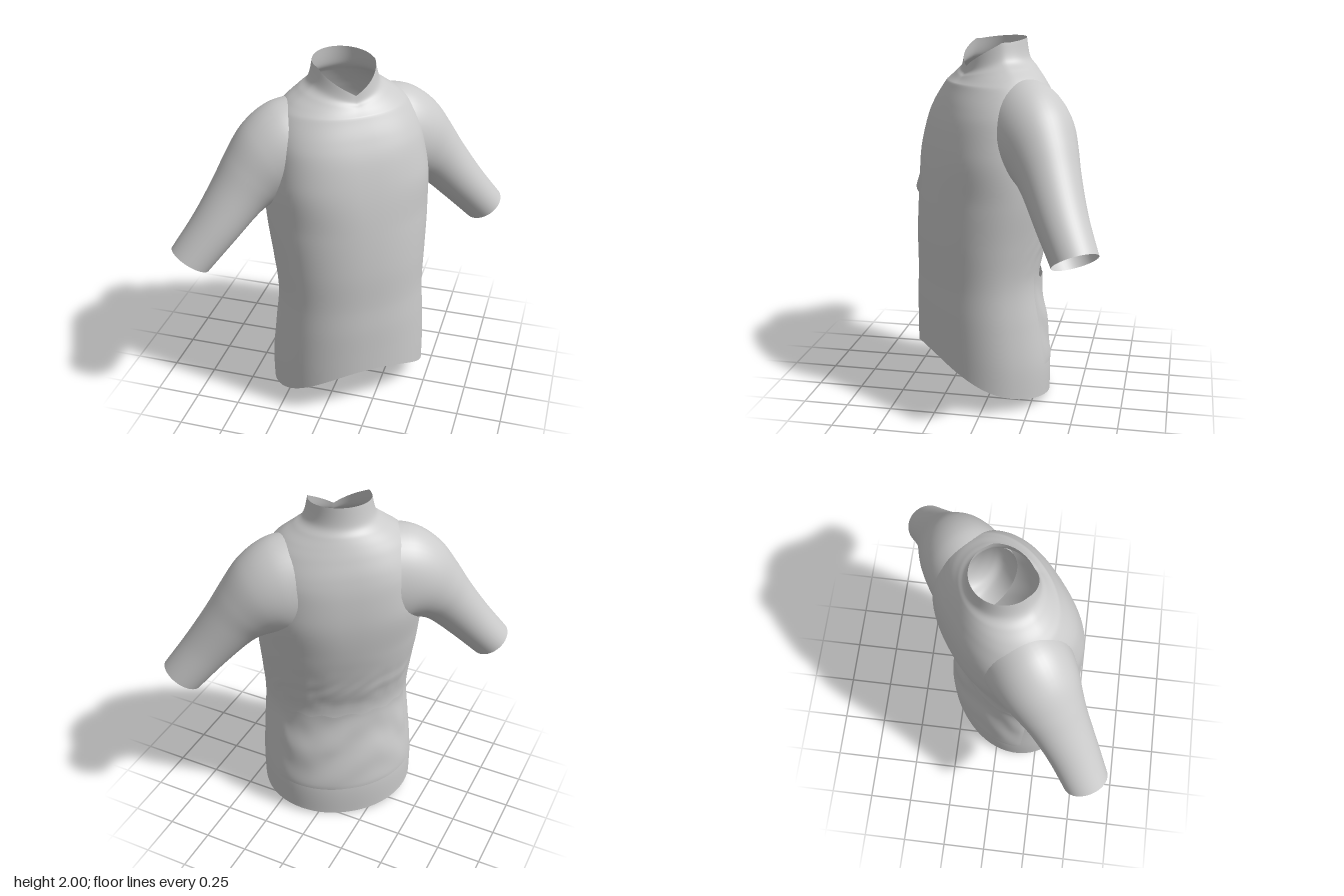
import * as THREE from 'three';

const material = new THREE.MeshStandardMaterial({ color: 0xcccccc, side: THREE.DoubleSide });
const TAU = Math.PI * 2;
const { clamp, smoothstep } = THREE.MathUtils;

// Smooth lookup through rows of numbers, t from 0 to 1
function rowSampler(rows) {
  const columns = rows[0].map((_, c) => new THREE.SplineCurve(rows.map((r, i) => new THREE.Vector2(i, r[c]))));
  return (t) => columns.map((curve) => curve.getPoint(t).y);
}

// Smooth surface from a point rule; a closed one joins up along its first direction
function surface(name, nu, nv, closed, rule) {
  const cols = closed ? nu : nu + 1;
  const position = [], index = [];
  for (let j = 0; j <= nv; j++)
    for (let i = 0; i < cols; i++) position.push(...rule(i / nu, j / nv));
  for (let j = 0; j < nv; j++)
    for (let i = 0; i < nu; i++) {
      const a = j * cols + i, b = j * cols + (i + 1) % cols;
      index.push(a, b, b + cols, a, b + cols, a + cols);
    }
  const geometry = new THREE.BufferGeometry();
  geometry.setAttribute('position', new THREE.Float32BufferAttribute(position, 3));
  geometry.setIndex(index);
  geometry.computeVertexNormals();
  const mesh = new THREE.Mesh(geometry, material);
  mesh.name = name;
  return mesh;
}

// Torso rows: height, half width, front depth, back depth
const torsoRow = rowSampler([
  [0.00, 0.445, 0.435, -0.27],
  [0.20, 0.445, 0.435, -0.27],
  [0.45, 0.43, 0.435, -0.23],
  [0.70, 0.415, 0.43, -0.195],
  [0.92, 0.43, 0.43, -0.24],
  [1.15, 0.45, 0.415, -0.29],
  [1.35, 0.45, 0.39, -0.315],
  [1.53, 0.43, 0.35, -0.31],
  [1.65, 0.405, 0.305, -0.29],
  [1.74, 0.365, 0.26, -0.26],
  [1.80, 0.31, 0.23, -0.235],
  [1.85, 0.245, 0.21, -0.21],
  [1.90, 0.19, 0.19, -0.18],
  [2.00, 0.165, 0.18, -0.165],
]);

const power = (v, p) => Math.sign(v) * Math.abs(v) ** p;

// Point on the torso; angle 0 is the front centre, offset pushes outward
function torsoPoint(angle, t, offset = 0) {
  let [y, half, front, back] = torsoRow(t);
  const mid = (front + back) / 2, depth = (front - back) / 2;
  // Squarer across the shoulder blades, round at the neck
  const p = 0.93 - 0.12 * smoothstep(y, 1.15, 1.42) + 0.19 * smoothstep(y, 1.58, 1.84);
  const x = (half + offset) * power(Math.sin(angle), p);
  const z = mid + (depth + offset) * power(Math.cos(angle), p);
  // Hem rises to the front
  if (y < 0.7) {
    const k = clamp((z + 0.27) / 0.7, 0, 1);
    y += (0.29 - 0.7 * x * x) * k * (1 - y / 0.7);
  }
  // Collar rim falls to a V at the front
  if (y > 1.76) {
    const fromFront = Math.abs(Math.atan2(Math.sin(angle), Math.cos(angle)));
    const rim = 1.85 + 0.13 * Math.min(1, fromFront / 1.35) + 0.02 * Math.max(0, -Math.cos(angle));
    y = 1.76 + (y - 1.76) * (rim - 1.76) / 0.24;
  }
  return [x, y, z];
}

// Soft creases low on the back
function backCrease(angle, t) {
  const y = torsoRow(t)[0];
  const amount = Math.max(0, -Math.cos(angle)) * Math.exp(-(((y - 0.88) / 0.13) ** 2));
  return 0.005 * amount * Math.sin(angle * 13 + 2 * Math.sin(y * 17)) * Math.cos(y * 25 + 3 * Math.sin(angle * 5));
}

// Sleeve rows from inside the shoulder to the cuff:
// centre x, y, z, normal tilt, radius across, radius front to back
const sleeveRow = rowSampler([
  [0.20, 1.50, -0.03, 1.45, 0.31, 0.235],
  [0.32, 1.495, -0.03, 1.33, 0.295, 0.232],
  [0.42, 1.465, -0.03, 1.08, 0.245, 0.215],
  [0.51, 1.395, -0.025, 0.83, 0.192, 0.187],
  [0.60, 1.305, -0.015, 0.67, 0.155, 0.162],
  [0.74, 1.14, 0, 0.62, 0.13, 0.14],
  [0.885, 0.975, 0.005, 0.62, 0.115, 0.125],
]);

function sleeve(name, side) {
  return surface(name, 48, 48, true, (u, v) => {
    const [x, y, z, tilt, across, deep] = sleeveRow(v);
    const a = u * TAU * side;
    const r = across * Math.cos(a);
    return [side * (x + r * Math.cos(tilt)), y + r * Math.sin(tilt), z + deep * Math.sin(a)];
  });
}

export function createModel() {
  const group = new THREE.Group();
  group.name = 'shortSleeveTop';

  const body = new THREE.Group();
  body.name = 'garment';
  body.rotation.y = THREE.MathUtils.degToRad(37);
  group.add(body);

  // Torso and stand-up collar in one skin
  body.add(surface('torsoAndCollar', 80, 110, true, (u, v) => {
    const angle = u * TAU;
    return torsoPoint(angle, v, backCrease(angle, v));
  }));

  body.add(sleeve('leftSleeve', 1), sleeve('rightSleeve', -1));

  // Back pocket: sagging, creased panel with a loose top edge
  body.add(surface('backPocket', 48, 32, false, (u, v) => {
    const angle = Math.PI + (u - 0.5) * 2.1;
    const across = Math.sin(Math.PI * u) ** 0.5;
    const sag = 0.003 * Math.sin(u * 40) - 0.01 * across;
    const t = 0.075 + v * (0.17 + sag);
    const crease = Math.sin(v * 11 + 3 * Math.sin(u * 7)) * Math.sin(Math.PI * v);
    return torsoPoint(angle, t, 0.002 + across * (0.022 * v ** 0.6 + 0.006 * crease));
  }));

  return group;
}
